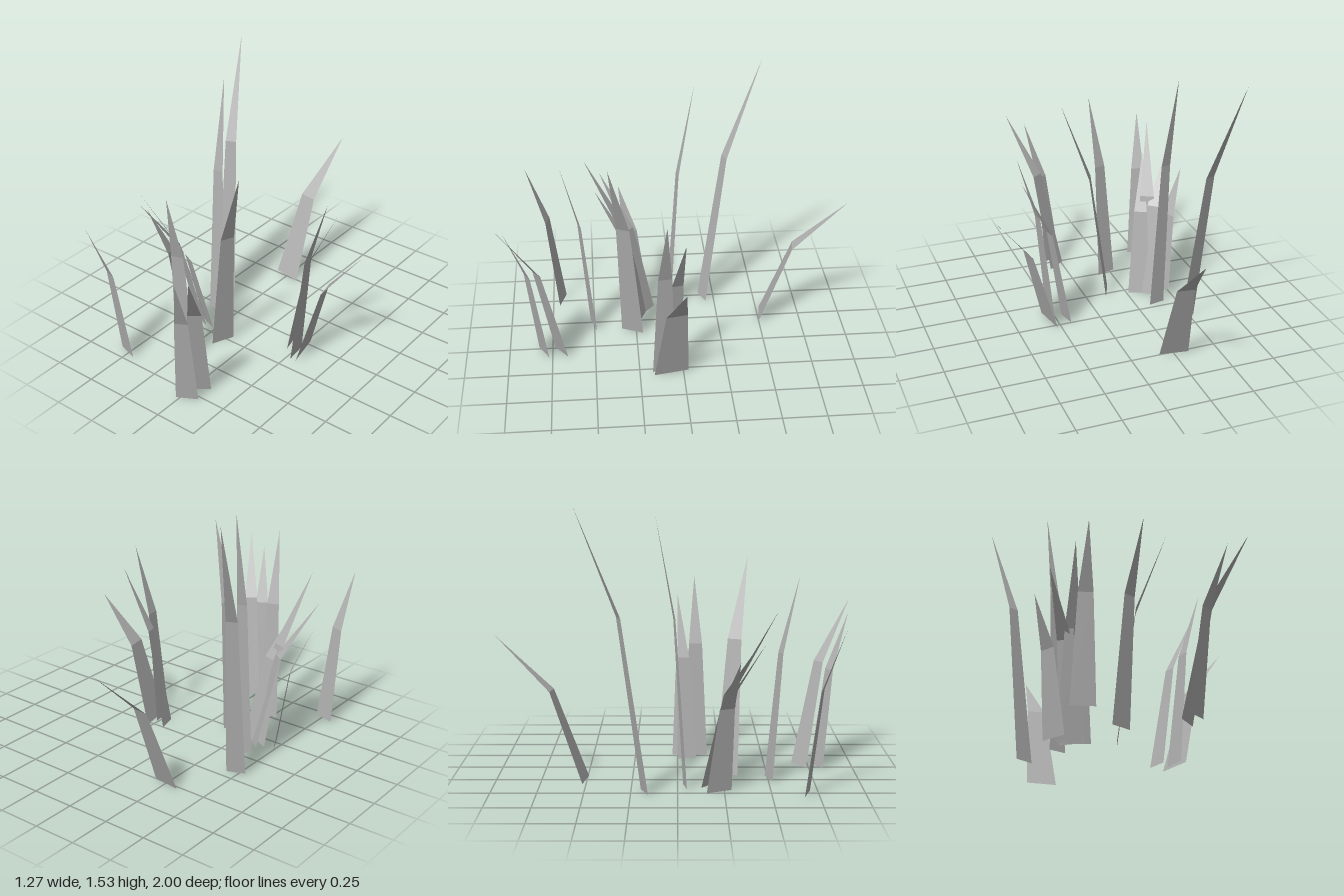
import * as THREE from 'three';

const bladeGrey = new THREE.MeshStandardMaterial({
  color: 0xb0b0b0, flatShading: true, side: THREE.DoubleSide,
});
bladeGrey.name = 'blade grey';

const BEND = 0.37;  // share of the sideways lean reached at the fold
const TAPER = 0.6;  // width at the fold relative to the base

// Each blade: base corner a [x, z], base corner b [x, z], fold height, tip [x, y, z]
const blades = [
  { a: [-0.335, -0.52], b: [-0.17, -0.495], fold: 0.50, tip: [-0.19, 0.80, -1.0] },
  { a: [-0.53, -0.157], b: [-0.43, -0.198], fold: 0.95, tip: [-0.615, 1.535, -0.53] },
  { a: [-0.425, 0.05], b: [-0.33, 0.03], fold: 0.92, tip: [-0.412, 1.465, -0.115] },
  { a: [0.205, 0.11], b: [0.18, 0.0], fold: 0.585, tip: [0.46, 0.94, 0.0] },
  { a: [0.277, 0.175], b: [0.262, 0.045], fold: 0.66, tip: [0.455, 1.05, 0.10] },
  { a: [0.31, 0.168], b: [0.272, -0.03], fold: 0.47, tip: [0.63, 0.74, 0.01] },
  { a: [-0.17, 0.335], b: [-0.115, 0.21], fold: 0.755, tip: [0.098, 1.21, 0.397] },
  { a: [-0.282, 0.523], b: [-0.17, 0.487], fold: 0.705, tip: [-0.17, 1.125, 0.667] },
  { a: [-0.572, 0.67], b: [-0.45, 0.71], fold: 0.565, tip: [-0.57, 0.90, 0.877] },
  { a: [-0.01, 0.735], b: [0.09, 0.66], fold: 0.595, tip: [0.258, 0.945, 1.0] },
  { a: [-0.02, 0.83], b: [0.09, 0.77], fold: 0.555, tip: [0.146, 0.88, 0.98] },
  { a: [-0.505, 0.155], b: [-0.44, 0.29], fold: 0.465, tip: [-0.637, 0.73, 0.325] },
  { a: [-0.404, 0.128], b: [-0.30, 0.215], fold: 0.53, tip: [-0.60, 0.845, 0.438] },
  { a: [-0.435, 0.165], b: [-0.31, 0.22], fold: 0.58, tip: [-0.494, 0.98, 0.527] },
  { a: [-0.38, 0.165], b: [-0.262, 0.214], fold: 0.495, tip: [-0.446, 0.80, 0.47] },
];

// A flat tapering quad below the fold and a pointed triangle above it
function bladeGeometry({ a, b, fold, tip }) {
  const base = [new THREE.Vector3(a[0], 0, a[1]), new THREE.Vector3(b[0], 0, b[1])];
  const top = new THREE.Vector3(...tip);
  const centre = base[0].clone().lerp(base[1], 0.5);
  const foldCentre = centre.clone().lerp(top, BEND).setY(fold);
  const folds = base.map((p) => p.clone().sub(centre).multiplyScalar(TAPER).add(foldCentre));
  const geometry = new THREE.BufferGeometry().setFromPoints([...base, ...folds, top]);
  geometry.setIndex([0, 1, 3, 0, 3, 2, 2, 3, 4]);
  const faceted = geometry.toNonIndexed();
  faceted.computeVertexNormals();
  return faceted;
}

export function createModel() {
  const group = new THREE.Group();
  group.name = 'grassTuft';
  blades.forEach((blade, i) => {
    const mesh = new THREE.Mesh(bladeGeometry(blade), bladeGrey);
    mesh.name = `grassBlade${i + 1}`;
    group.add(mesh);
  });
  return group;
}
